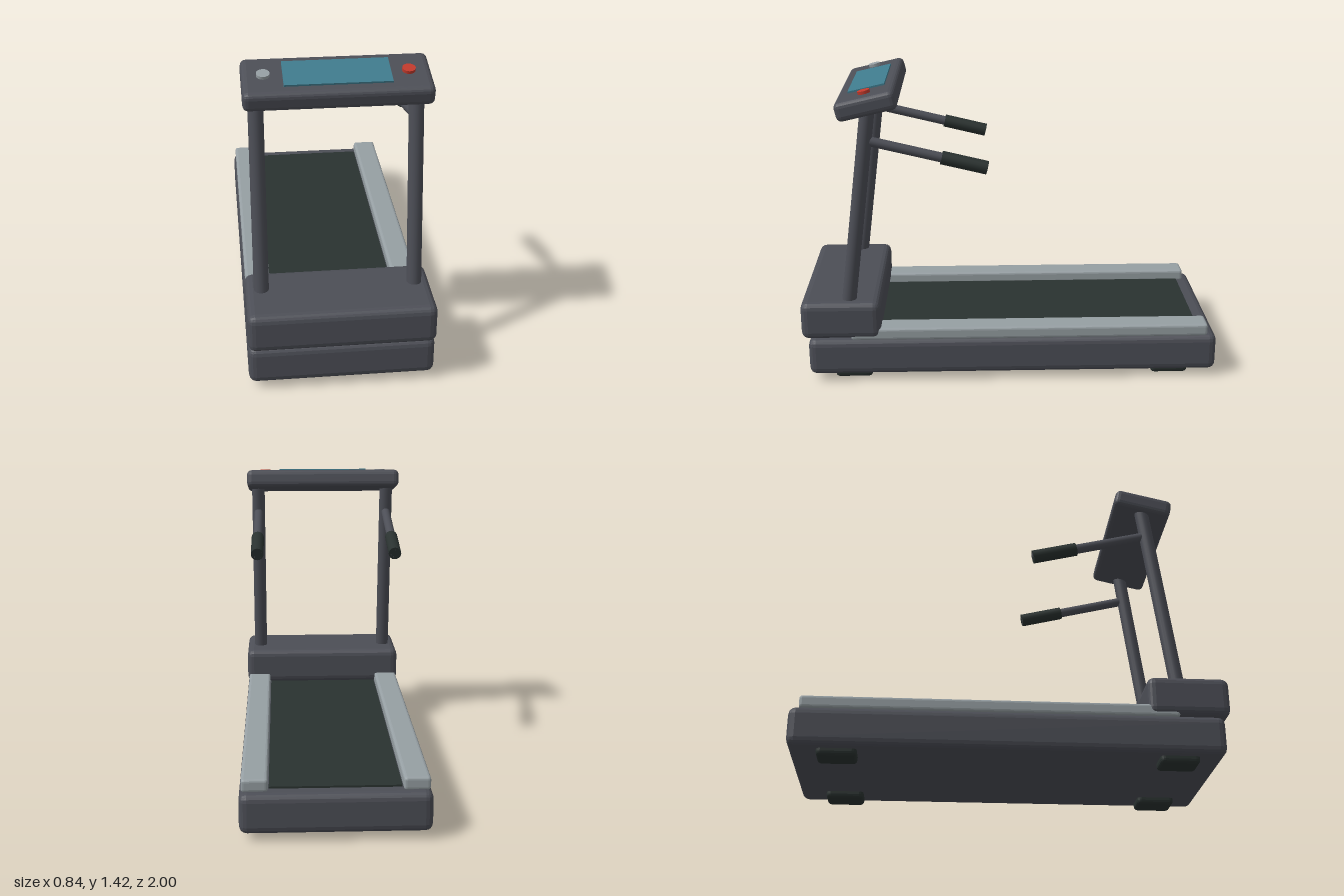
import * as THREE from 'three';
import { RoundedBoxGeometry } from 'three/addons/geometries/RoundedBoxGeometry.js';

export function createModel() {
  const model = new THREE.Group();
  model.name = 'treadmill';

  const paint = (name, color) => {
    const m = new THREE.MeshStandardMaterial({ color });
    m.name = name;
    return m;
  };
  const frameGrey = paint('frame grey', 0x4c4e56);
  const rubber = paint('black rubber', 0x2a3230);
  const railGrey = paint('light grey', 0x969fa3);
  const screenBlue = paint('screen blue', 0x3f7b8d);
  const red = paint('stop red', 0xc23a2c);

  const add = (name, geometry, material, x, y, z, parent = model) => {
    const mesh = new THREE.Mesh(geometry, material);
    mesh.name = name;
    mesh.position.set(x, y, z);
    parent.add(mesh);
    return mesh;
  };

  // Faceted, bevelled block
  const block = (w, h, d, r) => {
    const g = new RoundedBoxGeometry(w, h, d, 2, r);
    g.computeVertexNormals();
    return g;
  };

  // Cylinder between two points
  const rod = (name, a, b, r, material, sides = 16) => {
    const dir = b.clone().sub(a);
    const mid = a.clone().add(b).multiplyScalar(0.5);
    const mesh = add(name, new THREE.CylinderGeometry(r, r, dir.length(), sides), material, mid.x, mid.y, mid.z);
    mesh.quaternion.setFromUnitVectors(new THREE.Vector3(0, 1, 0), dir.normalize());
    return mesh;
  };

  // Deck, motor hood and running belt
  add('deck', block(0.84, 0.182, 1.97, 0.035), frameGrey, 0, 0.124, -0.015);
  add('motorHood', block(0.84, 0.185, 0.38, 0.035), frameGrey, 0, 0.3125, 0.81);
  add('runningBelt', new THREE.BoxGeometry(0.58, 0.02, 1.7), rubber, 0, 0.214, -0.07);

  for (const s of [-1, 1]) {
    const side = s > 0 ? 'left' : 'right';
    const x = s * 0.347;

    // Foot rail
    add(side + 'FootRail', block(0.118, 0.06, 1.72, 0.014), railGrey, s * 0.352, 0.24, -0.095);

    // Feet
    for (const [end, z] of [['Front', 0.76], ['Back', -0.78]]) {
      add(side + end + 'Foot', block(0.135, 0.06, 0.18, 0.02), rubber, s * 0.31, 0.03, z);
    }

    // Leaning upright
    rod(side + 'Upright', new THREE.Vector3(x, 0.36, 0.775), new THREE.Vector3(x, 1.34, 0.647), 0.034, frameGrey);

    // Handlebar and grip
    const start = new THREE.Vector3(x, 1.185, 0.66);
    const end = new THREE.Vector3(x, 1.05, 0.105);
    rod(side + 'Handlebar', start, end, 0.023, frameGrey);
    rod(side + 'Grip', start.clone().lerp(end, 0.62), end, 0.032, rubber);
  }

  // Tilted console with screen and buttons
  const console = new THREE.Group();
  console.name = 'console';
  console.position.set(0, 1.353, 0.653);
  console.rotation.x = 0.225;
  model.add(console);
  add('consoleBody', block(0.81, 0.09, 0.282, 0.026), frameGrey, 0, 0, 0, console);
  add('screen', new THREE.BoxGeometry(0.46, 0.009, 0.174), screenBlue, 0, 0.0485, -0.003, console);
  for (const [name, x, material] of [['stopButton', 0.307, red], ['startButton', -0.312, railGrey]]) {
    add(name, new THREE.CylinderGeometry(0.029, 0.029, 0.018, 16), material, x, 0.05, 0, console);
  }

  return model;
}
